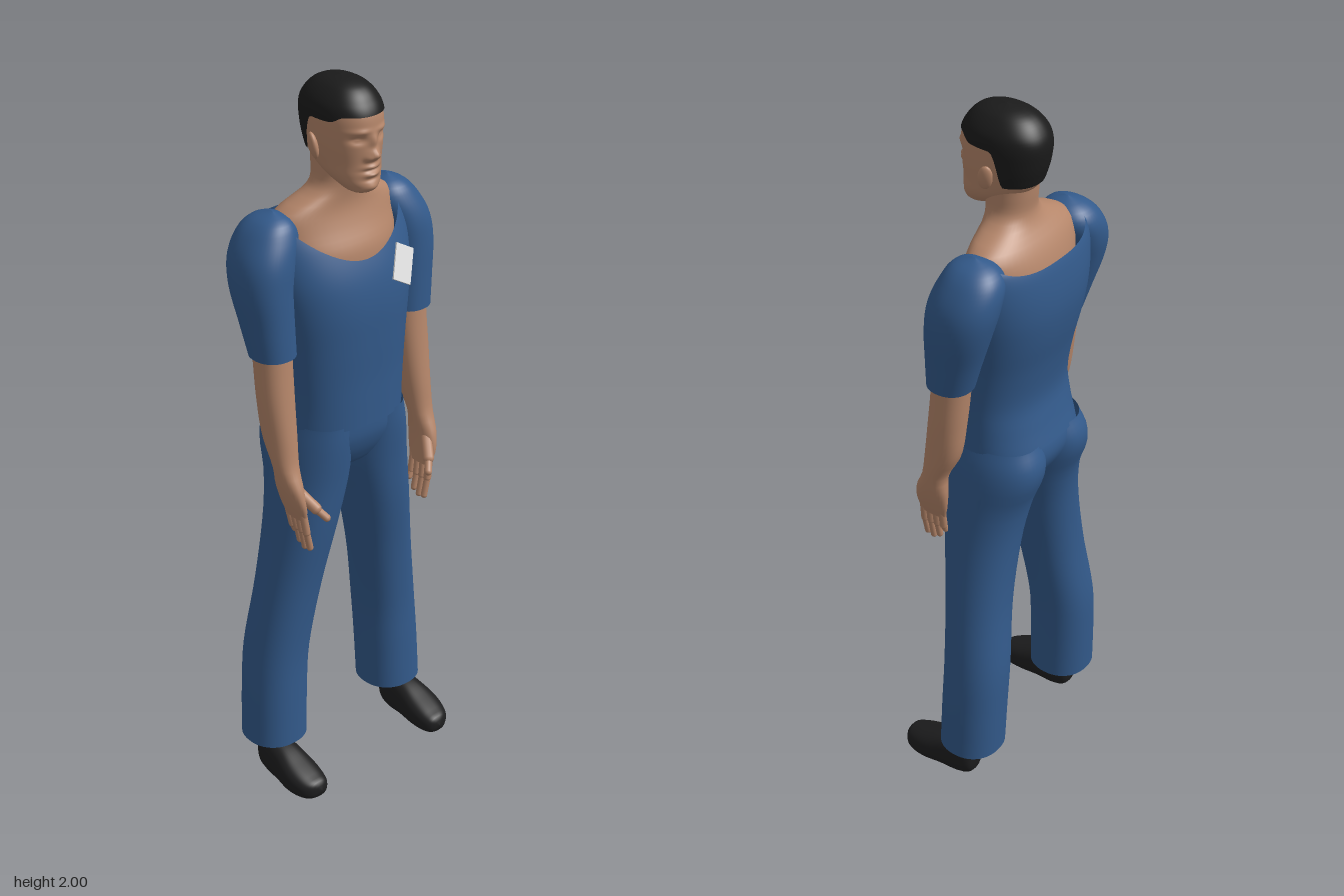
import * as THREE from 'three';

const mat = (name, color, side = THREE.FrontSide) => {
  const m = new THREE.MeshStandardMaterial({ color, side });
  m.name = name;
  return m;
};

// Smooth interpolation of section rows [y, cx, rx, zBack, zFront] at height y
function sectionAt(rows, y) {
  let i = 0;
  while (i < rows.length - 2 && y > rows[i + 1][0]) i++;
  const a = rows[i], b = rows[i + 1], h = b[0] - a[0];
  const t = THREE.MathUtils.clamp((y - a[0]) / h, 0, 1);
  const p = rows[i - 1] || a, q = rows[i + 2] || b;
  return a.map((_, k) => {
    const m0 = (b[k] - p[k]) / (b[0] - p[0]) * h, m1 = (q[k] - a[k]) / (q[0] - a[0]) * h;
    const t2 = t * t, t3 = t2 * t;
    return (2 * t3 - 3 * t2 + 1) * a[k] + (t3 - 2 * t2 + t) * m0 + (3 * t2 - 2 * t3) * b[k] + (t3 - t2) * m1;
  });
}

// Skin through the sections; lo and hi may vary with the angle round the body
function loft(rows, { n = 2.2, seg = 48, steps = 36, lo, hi, sculpt } = {}) {
  const pos = [], idx = [];
  const pw = (v) => Math.sign(v) * Math.pow(Math.abs(v), 2 / n);
  for (let j = 0; j <= steps; j++) {
    const v = (1 - Math.cos(Math.PI * j / steps)) / 2;
    for (let i = 0; i < seg; i++) {
      const a = i / seg * Math.PI * 2;
      const y0 = lo ? lo(a) : rows[0][0], y1 = hi ? hi(a) : rows[rows.length - 1][0];
      const y = y0 + (y1 - y0) * v;
      const [, cx, rx, zb, zf] = sectionAt(rows, y);
      const p = [cx + Math.max(rx, 0) * pw(Math.sin(a)), y, (zb + zf) / 2 + (zf - zb) / 2 * pw(Math.cos(a))];
      if (sculpt) sculpt(p);
      pos.push(...p);
      if (j < steps) {
        const c = j * seg + i, d = j * seg + (i + 1) % seg;
        idx.push(c, d, d + seg, c, d + seg, c + seg);
      }
    }
  }
  const g = new THREE.BufferGeometry();
  g.setAttribute('position', new THREE.Float32BufferAttribute(pos, 3));
  g.setIndex(idx);
  g.computeVertexNormals();
  return g;
}

const flip = (rows, s) => rows.map((r) => [r[0], r[1] * s, ...r.slice(2)]);

const HEAD = [
  [1.722, 0, 0.0, 0.075, 0.085], [1.727, 0, 0.03, 0.05, 0.108], [1.745, 0, 0.05, 0.01, 0.119],
  [1.77, 0, 0.065, -0.04, 0.119], [1.8, 0, 0.073, -0.08, 0.118], [1.84, 0, 0.08, -0.098, 0.12],
  [1.88, 0, 0.083, -0.108, 0.122], [1.92, 0, 0.083, -0.111, 0.119], [1.95, 0, 0.076, -0.1, 0.105],
  [1.98, 0, 0.052, -0.072, 0.078], [1.994, 0, 0.027, -0.037, 0.043], [2.0, 0, 0, 0.003, 0.004]];
const NECK = [
  [1.48, 0, 0.16, -0.13, 0.085], [1.56, 0, 0.178, -0.14, 0.08], [1.62, 0, 0.185, -0.128, 0.055],
  [1.66, 0, 0.178, -0.11, 0.042], [1.685, 0, 0.14, -0.092, 0.04], [1.705, 0, 0.095, -0.08, 0.042],
  [1.73, 0, 0.07, -0.072, 0.046], [1.78, 0, 0.064, -0.076, 0.052], [1.83, 0, 0.062, -0.08, 0.05]];
const SHIRT = [
  [1.09, 0, 0.176, -0.157, 0.127], [1.15, 0, 0.174, -0.14, 0.127], [1.22, 0, 0.176, -0.127, 0.127],
  [1.32, 0, 0.185, -0.14, 0.13], [1.42, 0, 0.2, -0.162, 0.13], [1.5, 0, 0.212, -0.172, 0.118],
  [1.58, 0, 0.217, -0.167, 0.088], [1.64, 0, 0.21, -0.15, 0.055], [1.68, 0, 0.192, -0.115, 0.025]];
const SLEEVE = [
  [1.32, 0.228, 0.058, -0.056, 0.065], [1.4, 0.232, 0.064, -0.082, 0.063], [1.5, 0.234, 0.073, -0.115, 0.06],
  [1.57, 0.222, 0.077, -0.13, 0.054], [1.63, 0.198, 0.07, -0.125, 0.035], [1.665, 0.19, 0.042, -0.095, 0.01],
  [1.682, 0.188, 0, -0.045, -0.035]];
const PELVIS = [
  [0.925, 0, 0, -0.03, -0.01], [0.945, 0, 0.06, -0.09, 0.055], [0.985, 0, 0.15, -0.128, 0.09],
  [1.04, 0, 0.184, -0.155, 0.113], [1.09, 0, 0.176, -0.153, 0.118], [1.13, 0, 0.168, -0.13, 0.115]];
const LEG = [
  [0.12, 0.212, 0.088, -0.125, 0.05], [0.26, 0.206, 0.087, -0.13, 0.047], [0.4, 0.195, 0.086, -0.132, 0.046],
  [0.6, 0.163, 0.087, -0.116, 0.062], [0.8, 0.126, 0.092, -0.12, 0.09], [0.92, 0.104, 0.1, -0.138, 0.101],
  [1.0, 0.096, 0.1, -0.167, 0.11], [1.05, 0.091, 0.096, -0.17, 0.114], [1.1, 0.085, 0.088, -0.15, 0.115]];
const ARM = [
  [0.875, 0.218, 0.011, 0.04, 0.118], [0.92, 0.226, 0.019, 0.028, 0.125], [0.97, 0.232, 0.026, 0.022, 0.115],
  [1.02, 0.233, 0.032, 0.022, 0.092], [1.1, 0.231, 0.04, -0.018, 0.08], [1.2, 0.23, 0.046, -0.034, 0.066],
  [1.3, 0.228, 0.048, -0.045, 0.055], [1.45, 0.228, 0.048, -0.06, 0.045]];
// Shoe rows run heel to toe: [z, cx, rx, -top, -bottom]
const SHOE = [
  [-0.068, 0.228, 0, -0.08, -0.075], [-0.058, 0.228, 0.028, -0.108, -0.022], [-0.02, 0.228, 0.041, -0.123, 0],
  [0.04, 0.23, 0.047, -0.113, 0], [0.1, 0.231, 0.053, -0.09, 0], [0.15, 0.228, 0.044, -0.069, -0.004],
  [0.172, 0.224, 0.026, -0.057, -0.014], [0.18, 0.222, 0, -0.037, -0.033]];

// Bumps and hollows of the face: [x, y, width, height, depth]
const FACE = [
  [0, 1.862, 0.011, 0.02, 0.009], [0, 1.827, 0.015, 0.014, 0.022], [0.016, 1.82, 0.008, 0.008, 0.008],
  [0.037, 1.867, 0.016, 0.009, -0.012], [0.037, 1.866, 0.009, 0.004, 0.005], [0.034, 1.888, 0.024, 0.007, 0.005],
  [0, 1.796, 0.022, 0.006, 0.009], [0, 1.776, 0.02, 0.006, 0.009], [0, 1.786, 0.024, 0.003, -0.004],
  [0, 1.762, 0.022, 0.005, -0.004], [0, 1.742, 0.02, 0.01, 0.006]];
function sculptFace(p) {
  if (p[2] < 0.03) return;
  for (const [x, y, w, h, d] of FACE) {
    const dx = (Math.abs(p[0]) - x) / w, dy = (p[1] - y) / h;
    p[2] += d * Math.exp(-(dx * dx + dy * dy));
  }
}

export function createModel() {
  const root = new THREE.Group();
  root.name = 'standingMan';
  const skin = mat('skin', 0xb5866a), hairMat = mat('black hair', 0x1b1b1b, THREE.DoubleSide);
  const cloth = mat('blue cloth', 0x335a8b, THREE.DoubleSide);
  const leather = mat('black leather', 0x1e1e1f), card = mat('white card', 0xdcdcdc);
  const add = (name, geo, material) => {
    const m = new THREE.Mesh(geo, material);
    m.name = name;
    root.add(m);
    return m;
  };
  const capsule = (name, a, b, r) => {
    const A = new THREE.Vector3(...a), B = new THREE.Vector3(...b), d = B.clone().sub(A);
    const m = add(name, new THREE.CapsuleGeometry(r, d.length(), 6, 12), skin);
    m.position.copy(A).add(B).multiplyScalar(0.5);
    m.quaternion.setFromUnitVectors(new THREE.Vector3(0, 1, 0), d.normalize());
  };

  // Head, hair and neck
  add('head', loft(HEAD, { seg: 144, steps: 110, hi: () => 1.965, sculpt: sculptFace }), skin);
  const hairline = (a) => {
    const t = Math.min(a, Math.PI * 2 - a);
    return 1.925 - 0.015 * THREE.MathUtils.smoothstep(t, 0.8, 1.2) - 0.095 * THREE.MathUtils.smoothstep(t, 1.65, 2.05);
  };
  const hairRows = HEAD.map(([y, cx, rx, b, f]) => [y, cx, rx + 0.004, b - 0.004, f + 0.003]);
  hairRows[hairRows.length - 1] = HEAD[HEAD.length - 1];
  add('hair', loft(hairRows, { seg: 96, lo: hairline }), hairMat);
  add('neckAndChest', loft(NECK), skin);

  // Shirt with a V neck in front and a shallow scoop behind
  const neckline = (a) => {
    const s = Math.abs(Math.sin(a));
    return Math.cos(a) > 0 ? 1.545 + 0.13 * Math.pow(s, 1.6) : 1.628 + 0.047 * Math.pow(s, 3);
  };
  add('shirt', loft(SHIRT, { n: 2.35, seg: 96, hi: neckline }), cloth);
  add('trouserSeat', loft(PELVIS, { n: 2.35 }), cloth);

  // Name card on the left chest
  const u = new THREE.Vector3(0.054, -0.031, 0.004), v = new THREE.Vector3(0.047, 0.073, -0.041);
  const w = u.clone().cross(v).normalize();
  const cardGeo = new THREE.BoxGeometry(1, 1, 0.004);
  cardGeo.applyMatrix4(new THREE.Matrix4().makeBasis(u, v, w).setPosition(0.103, 1.508, 0.122));
  cardGeo.computeVertexNormals();
  add('chestCard', cardGeo, card);

  for (const [side, s] of [['left', 1], ['right', -1]]) {
    const ear = add(side + 'Ear', new THREE.SphereGeometry(1, 20, 14), skin);
    ear.scale.set(0.011, 0.034, 0.019);
    ear.position.set(0.088 * s, 1.838, 0.002);
    ear.rotation.set(-0.15, 0.35 * s, -0.12 * s);

    add(side + 'Sleeve', loft(flip(SLEEVE, s)), cloth);
    add(side + 'Arm', loft(flip(ARM, s), { seg: 32 }), skin);

    // Four fingers, each with a knuckle bend, and a thumb
    for (let i = 0; i < 4; i++) {
      const z = 0.109 - i * 0.02, tip = [0.778, 0.774, 0.785, 0.81][i];
      const mid = [(0.213 - i * 0.001) * s, 0.838, z + 0.004];
      capsule(side + 'Finger', [0.222 * s, 0.9, z], mid, 0.0105);
      capsule(side + 'Fingertip', mid, [0.202 * s, tip + 0.01, z + 0.004], 0.009);
    }
    capsule(side + 'ThumbBase', [0.222 * s, 0.955, 0.095], [0.197 * s, 0.913, 0.132], 0.015);
    capsule(side + 'Thumb', [0.197 * s, 0.913, 0.132], [0.178 * s, 0.887, 0.152], 0.0105);

    // Trouser leg, ankle and shoe
    add(side + 'TrouserLeg', loft(flip(LEG, s)), cloth);
    const ankle = add(side + 'Ankle', new THREE.CylinderGeometry(0.036, 0.03, 0.16, 20), skin);
    ankle.position.set(0.225 * s, 0.17, -0.03);
    add(side + 'Shoe', loft(flip(SHOE, s), { n: 2.5 }).rotateX(Math.PI / 2), leather);
  }
  return root;
}
